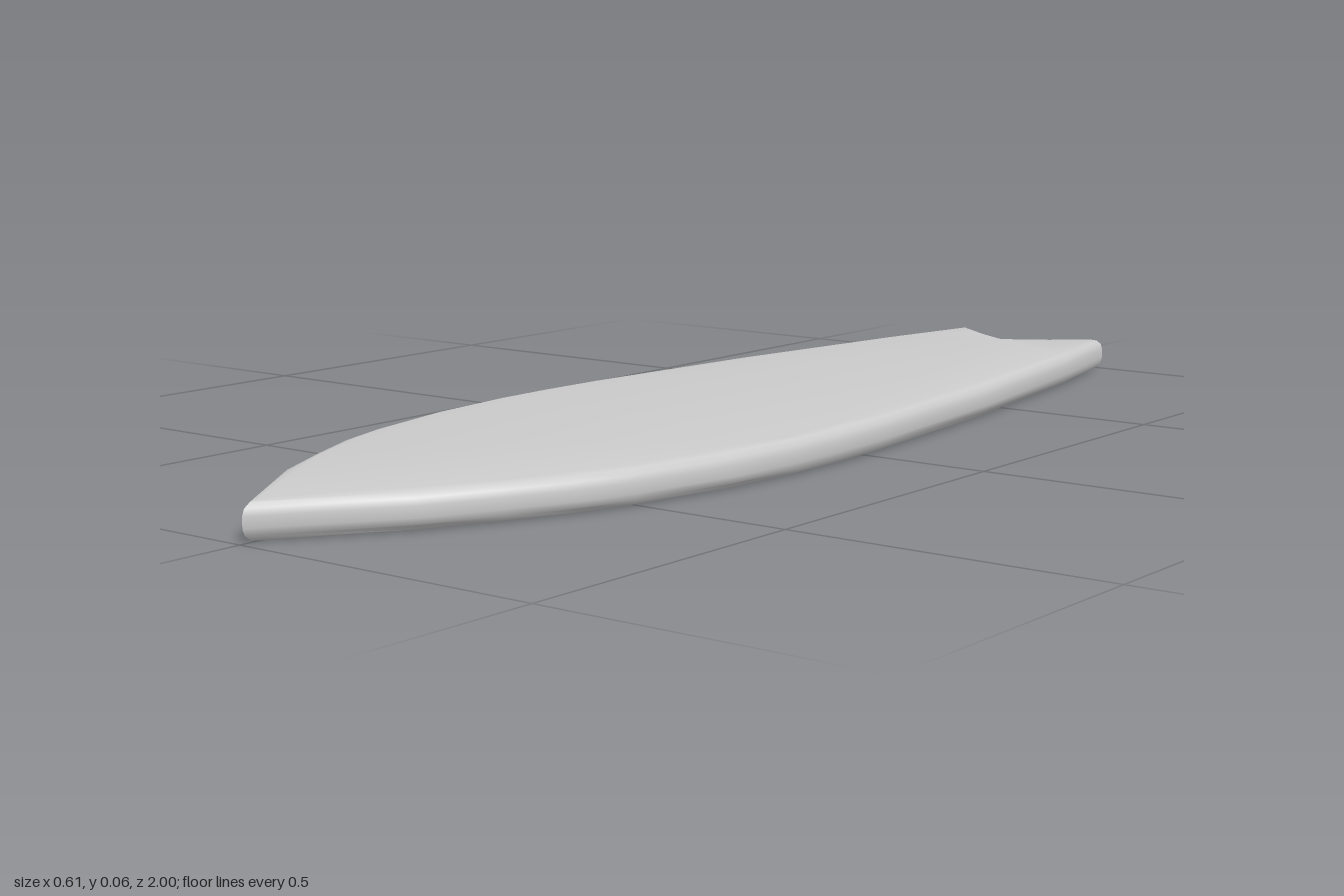
import * as THREE from 'three';
import { mergeVertices, toCreasedNormals } from 'three/addons/utils/BufferGeometryUtils.js';

const THICKNESS = 0.056;
const RAIL = 0.02; // rounding of the rail

// Half outline as [x, z], from the pointed nose to the notch of the swallow tail
const HALF = [
  [0, 0.995], [0.13, 0.81], [0.185, 0.7], [0.23, 0.6], [0.258, 0.51], [0.292, 0.34],
  [0.304, 0.19], [0.304, 0.08], [0.298, -0.04], [0.26, -0.4], [0.198, -0.78],
  [0.148, -1], [0.065, -0.94], [0, -0.9],
];

function outline() {
  const left = HALF.map(([x, z]) => new THREE.Vector2(x, -z));
  const right = HALF.slice(1, -1).reverse().map(([x, z]) => new THREE.Vector2(-x, -z));
  return new THREE.Shape([...left, ...right]);
}

export function createModel() {
  const group = new THREE.Group();
  group.name = 'surfboard';

  // Flat deck and underside joined by a rounded rail
  let geometry = new THREE.ExtrudeGeometry(outline(), {
    depth: THICKNESS - 2 * RAIL,
    bevelEnabled: true,
    bevelThickness: RAIL,
    bevelSize: RAIL,
    bevelOffset: -RAIL,
    bevelSegments: 3,
  });
  geometry.rotateX(-Math.PI / 2);
  geometry.translate(0, RAIL, 0);

  // Smooth along the rail, sharp at the nose and tail corners
  geometry.deleteAttribute('uv');
  geometry.deleteAttribute('normal');
  geometry = toCreasedNormals(mergeVertices(geometry, 1e-4), 0.6);

  const board = new THREE.Mesh(geometry, new THREE.MeshStandardMaterial({ color: 0xcccccc }));
  board.name = 'board';
  group.add(board);
  return group;
}
